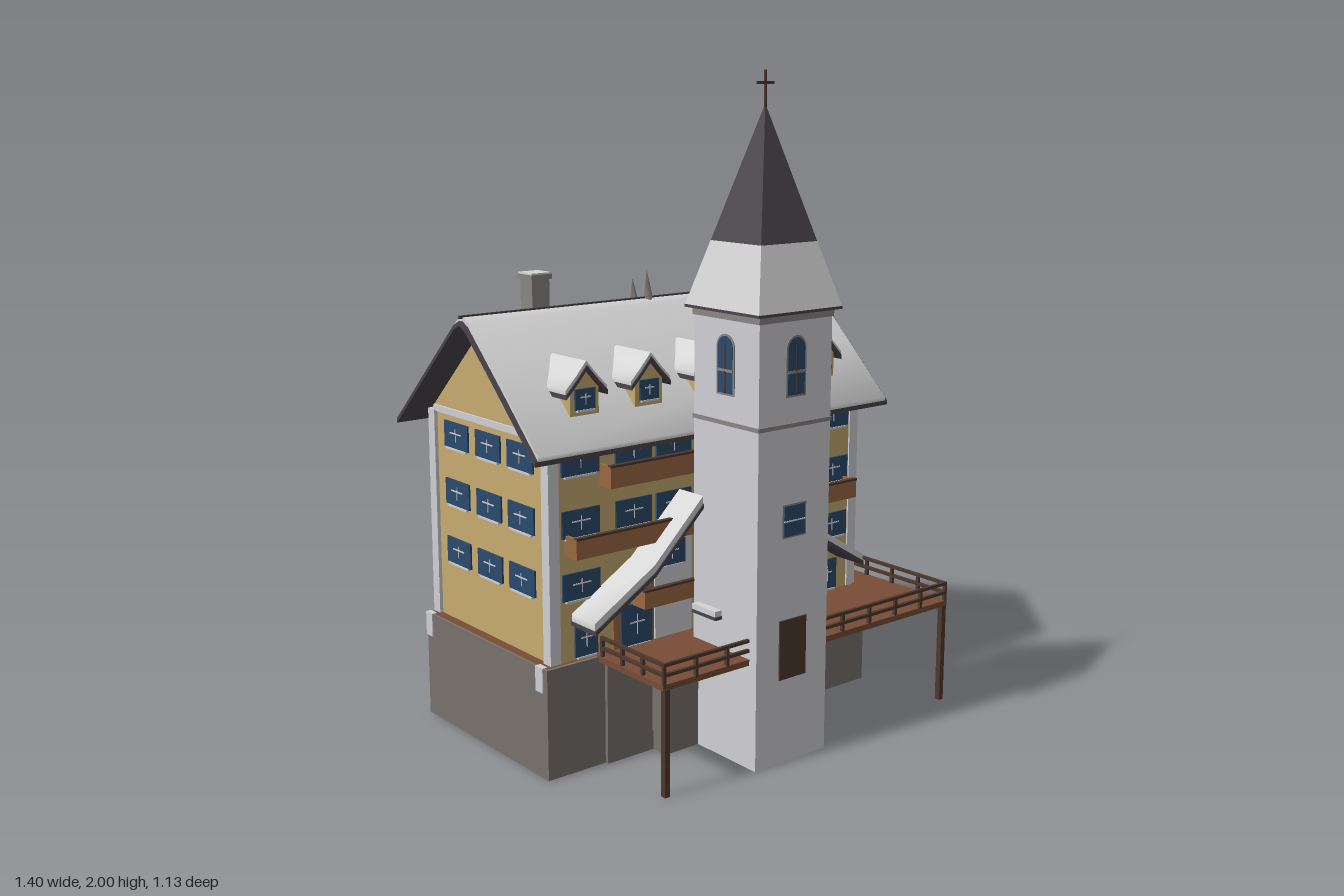
import * as THREE from 'three';
import { toCreasedNormals } from 'three/addons/utils/BufferGeometryUtils.js';

const mat = (name, hex) => {
  const m = new THREE.MeshStandardMaterial({ color: hex });
  m.name = name;
  return m;
};

export function createModel() {
  const model = new THREE.Group();
  model.name = 'mountainHotel';
  const house = new THREE.Group();
  house.name = 'house';
  house.position.x = -0.013;
  model.add(house);

  const plaster = mat('white plaster', 0xd0d0d4), snow = mat('snow', 0xd4d4d4);
  const yellow = mat('yellow plaster', 0xc6ab70), stone = mat('stone', 0x78716d);
  const plank = mat('deck wood', 0x784c36), balconyWood = mat('balcony wood', 0x9a6842);
  const darkWood = mat('dark wood', 0x4e392d), glass = mat('blue glass', 0x2b4a6b);
  const slate = mat('slate', 0x4a444c), brick = mat('chimney grey', 0x8a8583);

  const put = (name, geo, m, x = 0, y = 0, z = 0, parent = house) => {
    const mesh = new THREE.Mesh(geo, m);
    mesh.name = name;
    mesh.position.set(x, y, z);
    parent.add(mesh);
    return mesh;
  };
  // box given by its minimum and maximum corners
  const box = (name, m, x0, x1, y0, y1, z0, z1, parent = house) =>
    put(name, new THREE.BoxGeometry(x1 - x0, y1 - y0, z1 - z0), m, (x0 + x1) / 2, (y0 + y1) / 2, (z0 + z1) / 2, parent);
  const shapeOf = pts => new THREE.Shape(pts.map(p => new THREE.Vector2(p[0], p[1])));
  const extrude = (shape, depth) => new THREE.ExtrudeGeometry(shape, { depth, bevelEnabled: false });
  // mirror a polygon across x when s is negative
  const mirrored = (pts, s) => (s > 0 ? pts : pts.map(p => [-p[0], p[1]]).reverse());
  // bent slab following a polyline, hanging down by t
  const slab = (pts, t, depth) =>
    extrude(shapeOf([...pts, ...[...pts].reverse().map(p => [p[0], p[1] - t])]), depth);
  // softly shaded snow sheet with a dark layer below it
  const roof = (name, pts, depth, parent, t = 0.018, inset = 0.004) => {
    put(name + 'Snow', toCreasedNormals(slab(pts, t, depth - 2 * inset), 1.45), snow, 0, 0, inset, parent);
    put(name + 'Boards', slab(pts.map(p => [p[0], p[1] - t]), 0.014, depth), slate, 0, 0, 0, parent);
  };
  const subgroup = (name, x = 0, y = 0, z = 0, ry = 0) => {
    const g = new THREE.Group();
    g.name = name;
    g.position.set(x, y, z);
    g.rotation.y = ry;
    house.add(g);
    return g;
  };

  // shuttered window with pale bars and sill, facing local +z
  const shutteredWindow = (x, y, z, ry = 0, w = 0.132, h = 0.08) => {
    const g = subgroup('window', x, y, z, ry);
    box('panes', glass, -w / 2, w / 2, -h / 2, h / 2, 0, 0.006, g);
    box('bar', plaster, -w * 0.24, w * 0.24, 0.004, 0.008, 0, 0.008, g);
    box('mullion', plaster, -0.0012, 0.0012, -h * 0.25, h * 0.25, 0, 0.008, g);
    box('sill', plaster, -w * 0.42, w * 0.42, -h / 2 - 0.006, -h / 2, 0, 0.009, g);
  };

  // hollow stone base with plastered cellar below a timber floor
  const ring = (x, z0, z1, t, h) => {
    const s = shapeOf([[-x, z0], [x, z0], [x, z1], [-x, z1]]);
    s.holes.push(new THREE.Path([[t - x, z0 + t], [t - x, z1 - t], [x - t, z1 - t], [x - t, z0 + t]].map(p => new THREE.Vector2(...p))));
    return extrude(s, h).rotateX(-Math.PI / 2);
  };
  put('stoneBase', ring(0.638, -0.21, 0.452, 0.014, 0.333), stone);
  put('cellarLining', ring(0.625, -0.197, 0.439, 0.008, 0.3), yellow);
  box('groundFloor', plank, -0.63, 0.63, 0.3, 0.333, -0.44, 0.2);
  box('frontBaseStep', stone, -0.435, 0.435, 0, 0.325, 0.2, 0.222);
  box('backBaseStep', stone, -0.435, 0.435, 0, 0.33, -0.466, -0.445);
  box('frontBase', stone, -0.265, 0.265, 0, 0.315, 0.205, 0.28);
  box('backBase', stone, -0.265, 0.265, 0, 0.33, -0.54, -0.445);
  for (const s of [-1, 1]) {
    box('frontButtress', stone, s * 0.255 - 0.014, s * 0.255 + 0.014, 0.06, 0.28, 0.205, 0.287);
    box('backButtress', stone, s * 0.262 - 0.018, s * 0.262 + 0.018, 0.06, 0.28, -0.548, -0.445);
  }

  // main walls with gables, extruded along x
  const wallProfile = shapeOf([[-0.185, 0.32], [0.45, 0.32], [0.45, 0.985], [0.13, 1.285], [-0.185, 0.985]]);
  put('mainWalls', extrude(wallProfile, 1.2).rotateY(Math.PI / 2), yellow, -0.6);
  for (const s of [-1, 1]) {
    box('gableBand', plaster, s * 0.602 - 0.005, s * 0.602 + 0.005, 0.98, 1.0, -0.43, 0.165);
    for (const z of [0.172, -0.437]) {
      box('cornerPilaster', plaster, s * 0.593 - 0.018, s * 0.593 + 0.018, 0.31, 0.985, z - 0.018, z + 0.018);
      box('pilasterFoot', plaster, s * 0.632 - 0.009, s * 0.632 + 0.009, 0.26, 0.335, z - 0.018, z + 0.018);
    }
  }

  // windows on the ends, front and back
  for (const y of [0.555, 0.74, 0.92])
    for (const s of [-1, 1]) {
      for (const z of [0.04, -0.13, -0.305]) shutteredWindow(s * 0.6, y, z, s * Math.PI / 2);
      for (const x of [0.16, 0.31, 0.5]) if (y > 0.6 || x > 0.4) shutteredWindow(s * x, y, 0.186);
      for (const x of [0.1, 0.305, 0.5]) if (y > 0.6 || x > 0.4) shutteredWindow(s * x, y, -0.451, Math.PI);
    }
  for (const s of [-1, 1]) {
    shutteredWindow(s * 0.31, 0.4, 0.197, 0, 0.115, 0.125);
    shutteredWindow(s * 0.485, 0.39, 0.186, 0, 0.08, 0.1);
    shutteredWindow(s * 0.36, 0.41, -0.457, Math.PI, 0.09, 0.08);
  }

  // main roof and ridge
  const main = subgroup('mainRoof', -0.69, 0, 0, Math.PI / 2);
  roof('mainRoof', [[-0.245, 0.965], [-0.07, 1.135], [0.1, 1.295], [0.13, 1.31], [0.16, 1.295], [0.33, 1.135], [0.51, 0.965]], 1.38, main, 0.012, 0.011);
  box('ridgeCap', slate, -0.69, 0.69, 1.304, 1.313, -0.134, -0.126);

  // dormers
  for (const x of [-0.465, -0.235, 0, 0.235, 0.47]) {
    const d = subgroup('dormer', x);
    put('dormerWalls', extrude(shapeOf([[-0.05, 0.99], [0.05, 0.99], [0.05, 1.125], [0, 1.175], [-0.05, 1.125]]), 0.16), yellow, 0, 0, 0.005, d);
    const r = new THREE.Group();
    r.name = 'dormerRoof';
    r.position.z = 0.004;
    d.add(r);
    roof('dormerRoof', [[-0.072, 1.122], [-0.035, 1.16], [0, 1.2], [0.035, 1.16], [0.072, 1.122]], 0.176, r, 0.012);
    shutteredWindow(x, 1.09, 0.165, 0, 0.07, 0.06);
  }

  // chimneys with snowy caps
  for (const [x, z, top] of [[-0.38, -0.2, 1.41], [0.357, -0.21, 1.4]]) {
    box('chimney', brick, x - 0.031, x + 0.031, 1.1, top - 0.015, z - 0.031, z + 0.031);
    box('chimneyCap', brick, x - 0.037, x + 0.037, top - 0.02, top - 0.005, z - 0.037, z + 0.037);
    box('chimneySnow', snow, x - 0.036, x + 0.036, top - 0.005, top, z - 0.036, z + 0.036);
  }
  // ridge ornament
  put('ridgeSpike', new THREE.ConeGeometry(0.028, 0.12, 5), brick, -0.005, 1.335, -0.135);
  put('ridgeSpikeSmall', new THREE.ConeGeometry(0.024, 0.09, 5), brick, -0.015, 1.32, -0.195);

  // lower gables: a full one behind, two half slopes beside the tower
  const slope = [[0.14, 0.78], [0.32, 0.605], [0.535, 0.475]];
  const left = [...slope].reverse().map(p => [-p[0], p[1]]);
  roof('backGable', [...left, [0, 0.94], ...slope], 0.15, subgroup('backGable', 0, 0, -0.57), 0.022);
  put('bargeBoard', slab([[-0.265, 0.655], [-0.14, 0.775], [0, 0.935], [0.14, 0.775], [0.265, 0.655]], 0.035, 0.007), darkWood, 0, 0, -0.576);
  put('backGableWall', extrude(shapeOf([[-0.255, 0.33], [0.255, 0.33], [0.255, 0.64], [0.14, 0.75], [0, 0.905], [-0.14, 0.75], [-0.255, 0.64]]), 0.09), plaster, 0, 0, -0.535);
  roof('frontGableLeft', slope, 0.12, subgroup('frontGable', 0, 0, 0.185), 0.022);
  roof('frontGableRight', left, 0.12, subgroup('frontGable', 0, 0, 0.185), 0.022);
  for (const s of [-1, 1]) {
    const wall = [[0.1, 0.33], [0.24, 0.33], [0.24, 0.65], [0.14, 0.75], [0.1, 0.75]];
    put('frontGableWall', extrude(shapeOf(mirrored(wall, s)), 0.02), plaster, 0, 0, 0.18);
    shutteredWindow(s * 0.18, 0.595, 0.201, 0, 0.1, 0.075);
    // timber infill under the slopes
    const infill = [[0.23, 0.33], [0.39, 0.33], [0.39, 0.535], [0.32, 0.58], [0.23, 0.665]];
    put('frontInfill', extrude(shapeOf(mirrored(infill, s)), 0.014), balconyWood, 0, 0, 0.18);
    put('backInfill', extrude(shapeOf(mirrored(infill, s)), 0.016), balconyWood, 0, 0, -0.456);
    box('sideAwning', snow, s * 0.151 - 0.013, s * 0.151 + 0.013, 0.435, 0.452, 0.28, 0.385);
    box('sideAwningBoards', slate, s * 0.151 - 0.014, s * 0.151 + 0.014, 0.425, 0.435, 0.28, 0.387);
  }
  box('backAwning', slate, -0.33, -0.16, 0.425, 0.437, -0.545, -0.48);

  // open-topped balconies
  for (const [half, y0, y1, z] of [[0.43, 0.835, 0.9, 0.24], [0.555, 0.65, 0.71, 0.245], [0.325, 0.46, 0.515, 0.26]]) {
    box('balconyFront', balconyWood, -half, half, y0, y1, z - 0.01, z);
    box('balconyFloor', balconyWood, -half, half, y0, y0 + 0.012, 0.18, z);
    box('balconyRail', darkWood, -half, half, y1 - 0.004, y1 + 0.003, z - 0.013, z + 0.002);
    for (const s of [-1, 1]) box('balconySide', balconyWood, s * (half - 0.005) - 0.005, s * (half - 0.005) + 0.005, y0, y1, 0.18, z);
  }

  // timber deck, posts and railings
  box('frontDeck', plank, -0.457, 0.711, 0.318, 0.336, 0.2, 0.508);
  box('sideDeck', plank, 0.6, 0.711, 0.318, 0.336, -0.42, 0.2);
  for (const [x, z] of [[-0.44, 0.498], [0.7, 0.498], [0.7, -0.13], [0.7, -0.412]])
    box('deckPost', darkWood, x - 0.009, x + 0.009, 0, 0.32, z - 0.009, z + 0.009);
  const railing = (x0, z0, x1, z1, n) => {
    for (const y of [0.33, 0.362, 0.392])
      box('rail', darkWood, Math.min(x0, x1) - 0.005, Math.max(x0, x1) + 0.005, y - 0.005, y + 0.005, Math.min(z0, z1) - 0.005, Math.max(z0, z1) + 0.005);
    for (let i = 0; i <= n; i++) {
      const x = x0 + (x1 - x0) * i / n, z = z0 + (z1 - z0) * i / n;
      box('railPost', darkWood, x - 0.005, x + 0.005, 0.33, 0.395, z - 0.005, z + 0.005);
    }
  };
  railing(-0.45, 0.503, 0.705, 0.503, 10);
  railing(0.705, 0.503, 0.705, -0.415, 8);
  railing(-0.45, 0.503, -0.45, 0.22, 3);
  railing(0.705, -0.415, 0.64, -0.415, 1);

  // church-like tower
  const tz = 0.398;
  box('towerWalls', plaster, -0.139, 0.139, 0, 1.335, tz - 0.14, tz + 0.14);
  box('towerBand', brick, -0.142, 0.142, 1.008, 1.02, tz - 0.143, tz + 0.143);
  box('towerCornice', brick, -0.143, 0.143, 1.312, 1.335, tz - 0.144, tz + 0.144);
  const frustum = (r1, r0, h) => new THREE.CylinderGeometry(r1 * Math.SQRT2, r0 * Math.SQRT2, h, 4, 1).rotateY(Math.PI / 4).toNonIndexed();
  const flat = g => (g.computeVertexNormals(), g);
  put('towerSkirtRoof', flat(frustum(0.107, 0.159, 0.185)), snow, 0, 1.4325, tz);
  box('towerEaves', slate, -0.16, 0.16, 1.333, 1.341, tz - 0.16, tz + 0.16);
  put('spire', flat(frustum(0.001, 0.107, 0.38)), slate, 0, 1.714, tz);
  box('crossUpright', darkWood, -0.003, 0.003, 1.89, 2.0, tz - 0.003, tz + 0.003);
  box('crossArm', darkWood, -0.032, 0.032, 1.96, 1.969, tz - 0.003, tz + 0.003);

  // arched tower windows on all four sides
  const arch = (w, h) => {
    const s = new THREE.Shape();
    s.moveTo(-w, 0).lineTo(w, 0).lineTo(w, h).absarc(0, h, w, 0, Math.PI, false);
    return s;
  };
  for (let i = 0; i < 4; i++) {
    const a = i * Math.PI / 2;
    const g = subgroup('archedWindow', Math.sin(a) * 0.139, 1.095, tz + Math.cos(a) * 0.139, a);
    put('frame', extrude(arch(0.038, 0.138), 0.003), brick, 0, 0, 0, g);
    put('panes', extrude(arch(0.032, 0.132), 0.002), glass, 0, 0.006, 0.002, g);
    box('crossBar', brick, -0.033, 0.033, 0.068, 0.076, 0.002, 0.006, g);
    box('middleBar', darkWood, -0.002, 0.002, 0.006, 0.15, 0.002, 0.006, g);
  }
  box('lowerWindowFrame', brick, -0.046, 0.046, 0.685, 0.785, tz + 0.139, tz + 0.143);
  box('lowerWindow', glass, -0.04, 0.04, 0.69, 0.78, tz + 0.139, tz + 0.145);
  box('lowerWindowBar', plaster, -0.04, 0.04, 0.733, 0.737, tz + 0.139, tz + 0.147);
  box('towerDoor', darkWood, -0.052, 0.052, 0.26, 0.44, tz + 0.139, tz + 0.145);

  return model;
}
